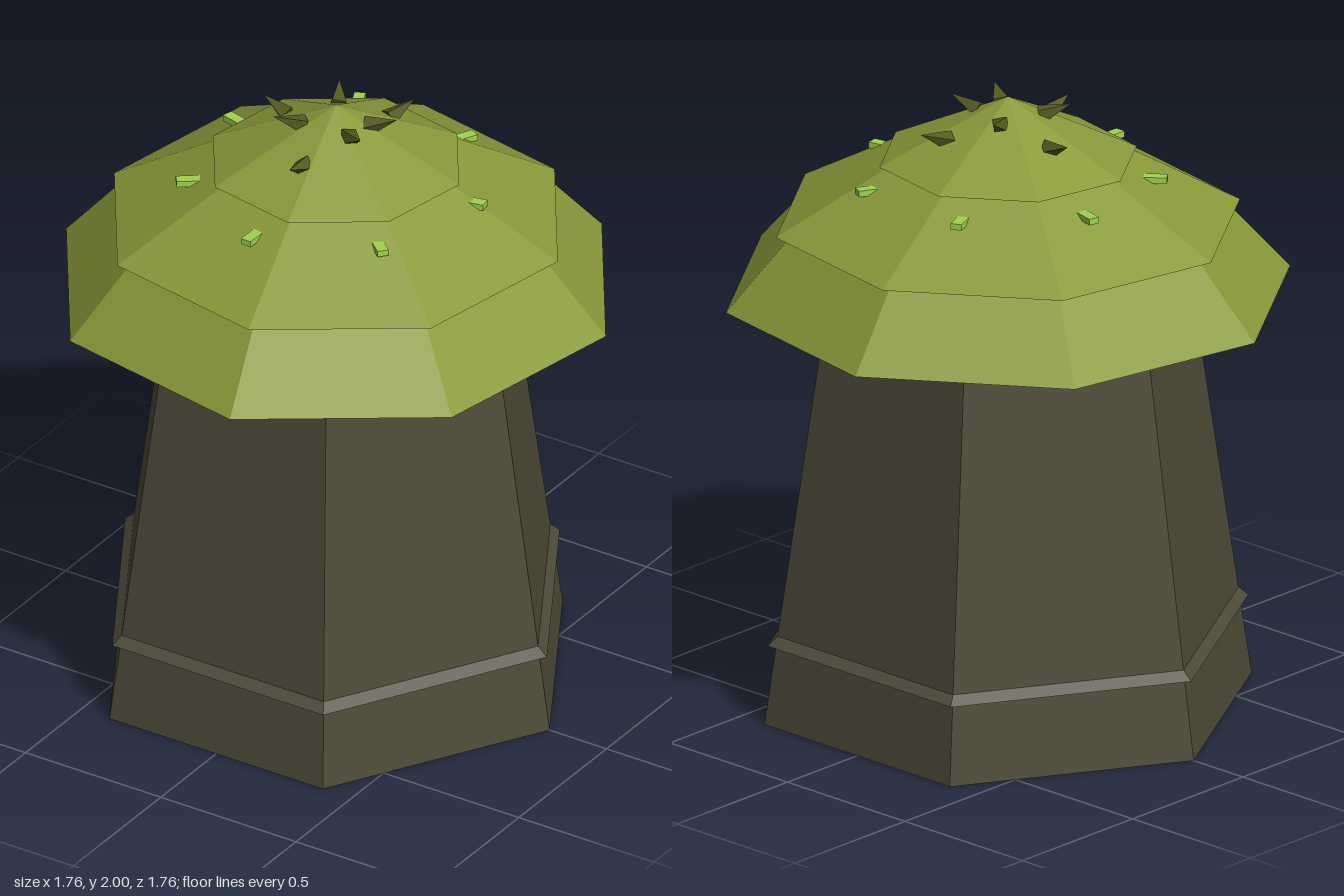
import * as THREE from 'three';

const mat = (name, color) => {
  const m = new THREE.MeshStandardMaterial({ color, flatShading: true });
  m.name = name;
  return m;
};

export function createModel() {
  const bark = mat('dark bark', 0x4e4b39);
  const moss = mat('moss green', 0x8a9a3a);
  const thorn = mat('dark olive', 0x555a20);
  const leaf = mat('bright green', 0xa0d350);
  const model = new THREE.Group();
  const TWIST = 0.2; // turn of the roof against the x axis

  const add = (name, geometry, material, parent = model) => {
    const mesh = new THREE.Mesh(geometry, material);
    mesh.name = name;
    parent.add(mesh);
    return mesh;
  };
  // Tapered prism between two heights, with a corner at +x turned by twist
  const tier = (name, rBottom, rTop, y0, y1, sides, twist, material) => {
    const g = new THREE.CylinderGeometry(rTop, rBottom, y1 - y0, sides, 1, false, Math.PI / 2 + twist);
    return add(name, g.translate(0, (y0 + y1) / 2, 0), material);
  };

  // Six-sided trunk and its base band
  tier('trunk', 0.79, 0.59, 0, 1.35, 6, 0, bark);
  tier('baseBand', 0.78, 0.735, 0.26, 0.3, 6, 0, bark);

  // Eight-sided roof: underside, then three stacked tiers
  tier('underDisc', 0.71, 0.66, 1.34, 1.36, 8, TWIST, bark);
  tier('lowerRoof', 0.9, 0.67, 1.36, 1.62, 8, TWIST, [moss, moss, bark]);
  tier('middleRoof', 0.74, 0.36, 1.595, 1.81, 8, TWIST, moss);
  tier('topRoof', 0.41, 0, 1.8, 2, 8, TWIST, moss);

  // Ring of small leaf tabs half sunk into the middle tier
  const tabs = new THREE.Group();
  tabs.name = 'leafTabs';
  model.add(tabs);
  // Ring of thorns leaning outward, alternating near and far from the peak
  const thorns = new THREE.Group();
  thorns.name = 'thorns';
  model.add(thorns);

  for (let i = 0; i < 7; i++) {
    const step = (i * Math.PI * 2) / 7;

    const a = step - TWIST;
    const tab = add('leafTab', new THREE.BoxGeometry(0.075, 0.02, 0.036), leaf, tabs);
    tab.position.set(Math.cos(a) * 0.46, 1.745, Math.sin(a) * 0.46);
    tab.rotation.y = -a;

    const b = step + 0.6;
    const far = i % 2 === 1;
    const at = (r, y) => new THREE.Vector3(Math.cos(b) * r, y, Math.sin(b) * r);
    const base = far ? at(0.2, 1.885) : at(0.1, 1.94);
    const tip = far ? at(0.3, 1.92) : at(0.197, 1.977);
    const spike = add('thorn', new THREE.ConeGeometry(0.033, base.distanceTo(tip), 4), thorn, thorns);
    spike.position.copy(base).lerp(tip, 0.5);
    spike.quaternion.setFromUnitVectors(new THREE.Vector3(0, 1, 0), tip.sub(base).normalize());
  }
  return model;
}
